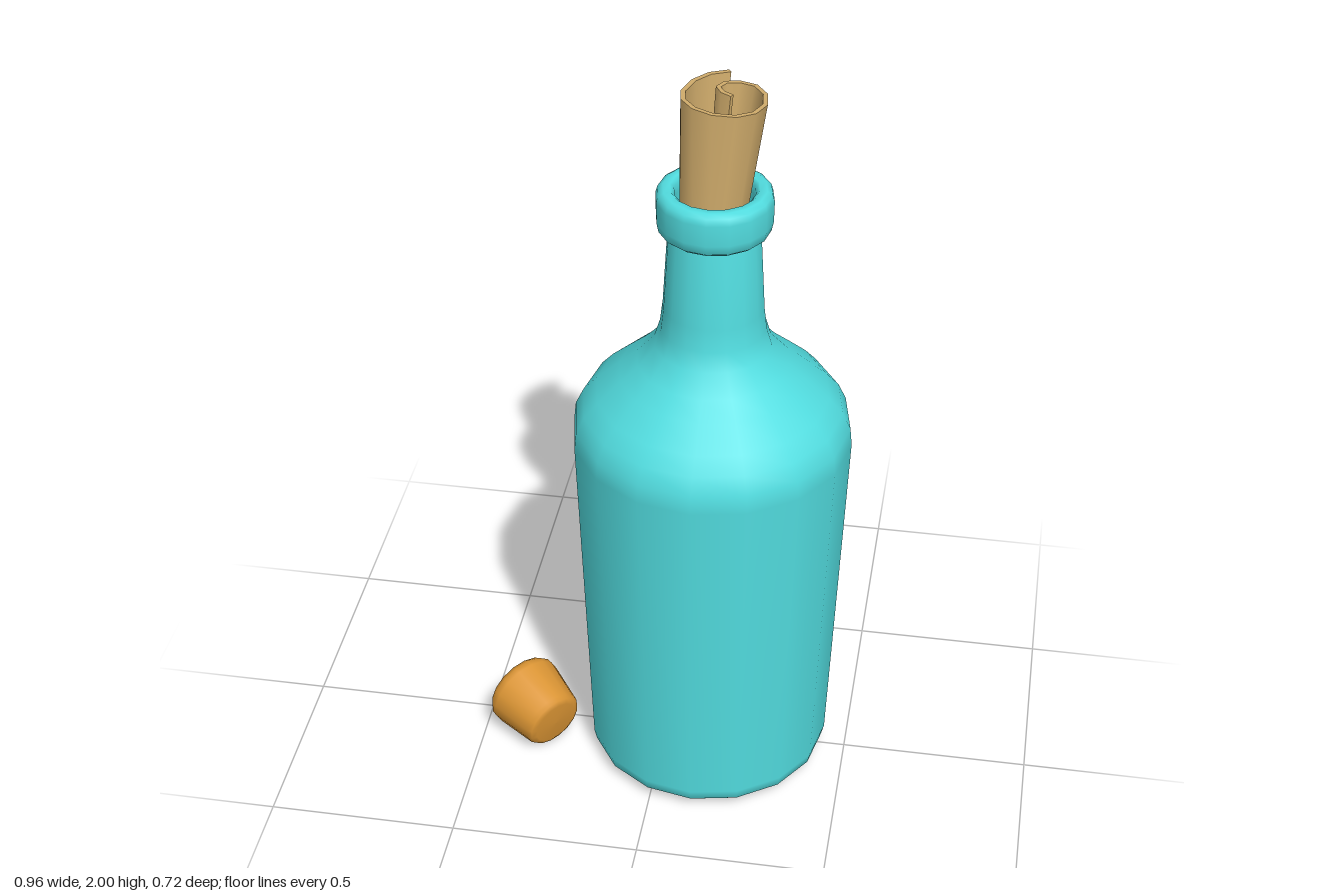
import * as THREE from 'three';
import { toCreasedNormals } from 'three/addons/utils/BufferGeometryUtils.js';

const SIDES = 16;

function addMesh(group, name, geometry, color, side = THREE.FrontSide) {
  const mesh = new THREE.Mesh(geometry, new THREE.MeshStandardMaterial({ color, side }));
  mesh.name = name;
  group.add(mesh);
  return mesh;
}

function lathe(profile) {
  return new THREE.LatheGeometry(profile.map(([r, y]) => new THREE.Vector2(r, y)), SIDES);
}

// Rolled paper: a spiral strip, extruded upward and tapered toward its lower end
function scrollGeometry() {
  const path = [
    [0.13, -0.142], [0.085, -0.115], [0.053, -0.07], [0.036, -0.01], [0.043, 0.03], [0.073, 0.065],
    [0.12, 0.083], [0.175, 0.077], [0.215, 0.047], [0.234, 0], [0.228, -0.05], [0.2, -0.086],
    [0.16, -0.094], [0.128, -0.082], [0.114, -0.055], [0.128, -0.032], [0.152, -0.02],
  ].map(([x, z]) => new THREE.Vector2(x, -z));
  const half = 0.006;
  const edge = (sign) => path.map((p, i) => {
    const a = path[Math.max(i - 1, 0)], b = path[Math.min(i + 1, path.length - 1)];
    const d = b.clone().sub(a).normalize();
    return new THREE.Vector2(p.x - d.y * half * sign, p.y + d.x * half * sign);
  });
  const shape = new THREE.Shape([...edge(1), ...edge(-1).reverse()]);
  const bottom = 1.35, top = 2;
  const geo = new THREE.ExtrudeGeometry(shape, { depth: top - bottom, bevelEnabled: false });
  geo.rotateX(-Math.PI / 2);
  const pos = geo.attributes.position;
  for (let i = 0; i < pos.count; i++) {
    const x = pos.getX(i), z = pos.getZ(i), t = pos.getY(i) / (top - bottom);
    const s = 0.56 + 0.44 * t;
    pos.setXYZ(i, 0.035 + (x - 0.035) * s, bottom + pos.getY(i) - 0.07 * t * (x - 0.035), 0.085 + (z - 0.085) * s);
  }
  return toCreasedNormals(geo, 0.75);
}

export function createModel() {
  const model = new THREE.Group();
  model.name = 'messageBottle';
  const glass = 0x52dde0;

  // Hollow bottle: outer wall up, inner wall back down
  const bottle = new THREE.Group();
  bottle.name = 'bottle';
  bottle.position.x = 0.117;
  model.add(bottle);
  addMesh(bottle, 'bottleBody', lathe([
    [0, 0.01], [0.27, 0.01], [0.3, 0.018], [0.318, 0.035], [0.325, 0.065],
    [0.361, 1.03], [0.356, 1.08], [0.335, 1.125], [0.3, 1.165], [0.24, 1.22], [0.195, 1.26],
    [0.15, 1.31], [0.135, 1.36], [0.128, 1.42], [0.115, 1.65],
    [0.098, 1.65], [0.1, 1.42], [0.11, 1.35], [0.17, 1.24], [0.28, 1.14], [0.328, 1.06],
    [0.334, 1.02], [0.3, 0.07], [0.27, 0.04], [0, 0.035],
  ]), glass);
  addMesh(bottle, 'bottleRim', lathe([
    [0.098, 1.635], [0.128, 1.635], [0.14, 1.645], [0.145, 1.67], [0.146, 1.725], [0.141, 1.743],
    [0.128, 1.752], [0.11, 1.752], [0.1, 1.743], [0.098, 1.72], [0.098, 1.635],
  ]), glass);

  // Paper in the neck, held by a band
  addMesh(model, 'scroll', scrollGeometry(), 0xcfab6b);
  const band = addMesh(model, 'scrollBand',
    new THREE.CylinderGeometry(0.08, 0.078, 0.05, SIDES, 1, true), 0xa01c1c, THREE.DoubleSide);
  band.position.set(0.105, 1.55, 0.005);

  // Tapered cork lying on its side, narrow end pointing front and left
  const cork = addMesh(model, 'cork', lathe([
    [0, -0.088], [0.08, -0.086], [0.097, -0.08], [0.107, -0.066], [0.108, -0.05],
    [0.087, 0.068], [0.08, 0.08], [0.066, 0.086], [0, 0.088],
  ]), 0xdb9534);
  cork.position.set(-0.355, 0.099, 0.076);
  cork.quaternion.setFromUnitVectors(new THREE.Vector3(0, 1, 0),
    new THREE.Vector3(0.75, -0.17, 0.65).normalize());

  return model;
}
